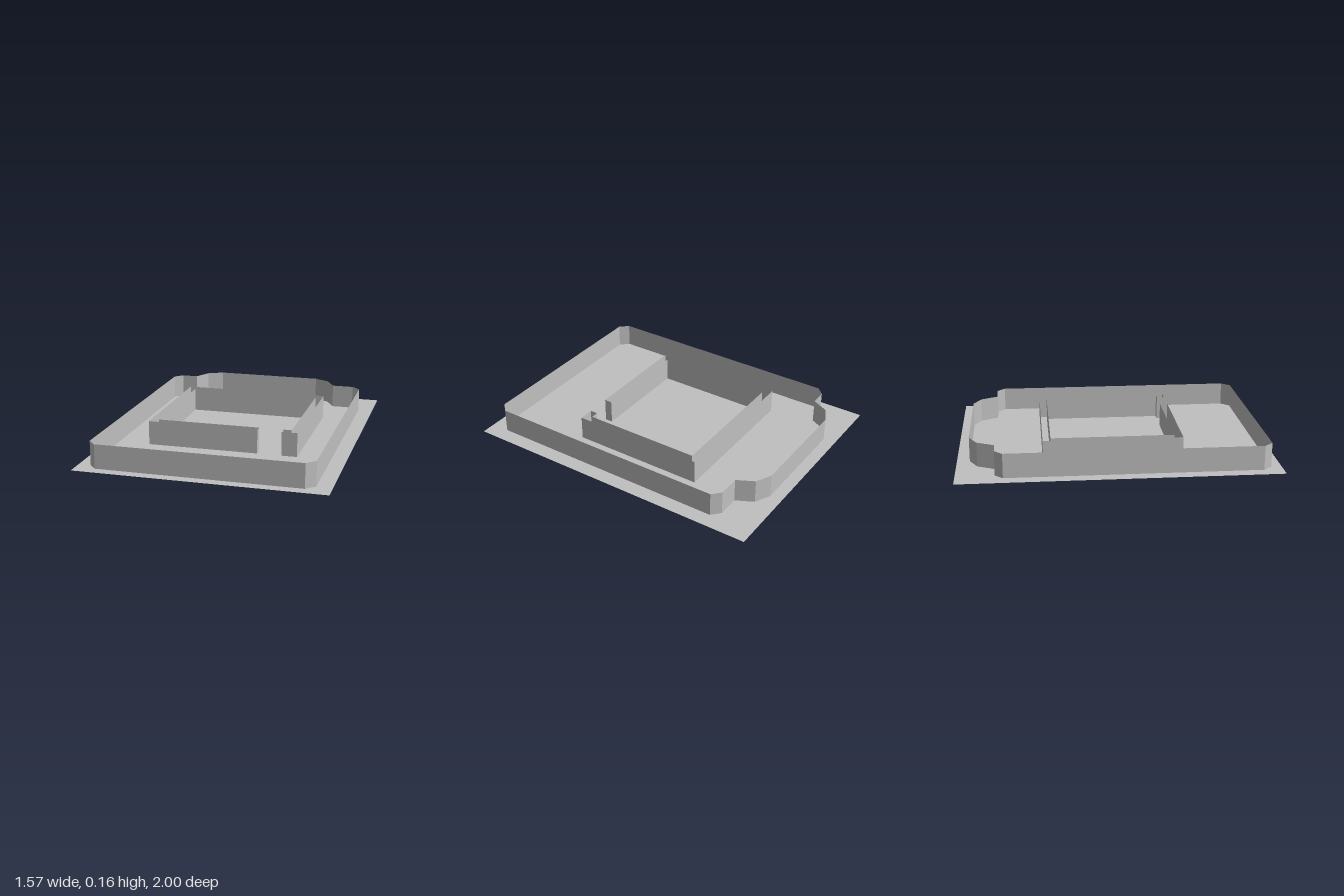
import * as THREE from 'three';

const HEIGHT = 0.155;

// Open-topped wall: a closed [x, z] outline raised straight up from the ground
function raiseOutline(name, outline, material) {
  const positions = [];
  outline.forEach(([x0, z0], i) => {
    const [x1, z1] = outline[(i + 1) % outline.length];
    positions.push(x0, 0, z0, x1, 0, z1, x1, HEIGHT, z1);
    positions.push(x0, 0, z0, x1, HEIGHT, z1, x0, HEIGHT, z0);
  });
  const geometry = new THREE.BufferGeometry();
  geometry.setAttribute('position', new THREE.Float32BufferAttribute(positions, 3));
  geometry.computeVertexNormals();
  const mesh = new THREE.Mesh(geometry, material);
  mesh.name = name;
  return mesh;
}

export function createModel() {
  const model = new THREE.Group();
  model.name = 'walledPlot';

  const grey = new THREE.MeshStandardMaterial({ color: 0xc0c0c0, side: THREE.DoubleSide });
  grey.name = 'plain grey';

  // Flat ground sheet
  const ground = new THREE.Mesh(new THREE.PlaneGeometry(1.565, 2).rotateX(-Math.PI / 2), grey);
  ground.name = 'ground';
  model.add(ground);

  // Perimeter wall with chamfered front corners and a stepped bay at the back
  model.add(raiseOutline('perimeterWall', [
    [-0.705, 0.88], [-0.655, 0.935], [0.63, 0.935], [0.685, 0.88],
    [0.685, -0.71], [0.63, -0.76], [0.487, -0.76], [0.43, -0.87],
    [0.33, -0.92], [-0.39, -0.92], [-0.49, -0.87], [-0.547, -0.76],
    [-0.655, -0.76], [-0.705, -0.71],
  ], grey));

  // Inner enclosure: double-skinned wall with a doorway in its front
  model.add(raiseOutline('innerWall', [
    [-0.5, 0.41], [0.217, 0.41], [0.217, 0.36], [-0.45, 0.36],
    [-0.45, -0.415], [0.425, -0.415], [0.425, 0.36], [0.373, 0.36],
    [0.373, 0.41], [0.472, 0.41], [0.472, -0.465], [-0.5, -0.465],
  ], grey));

  return model;
}
